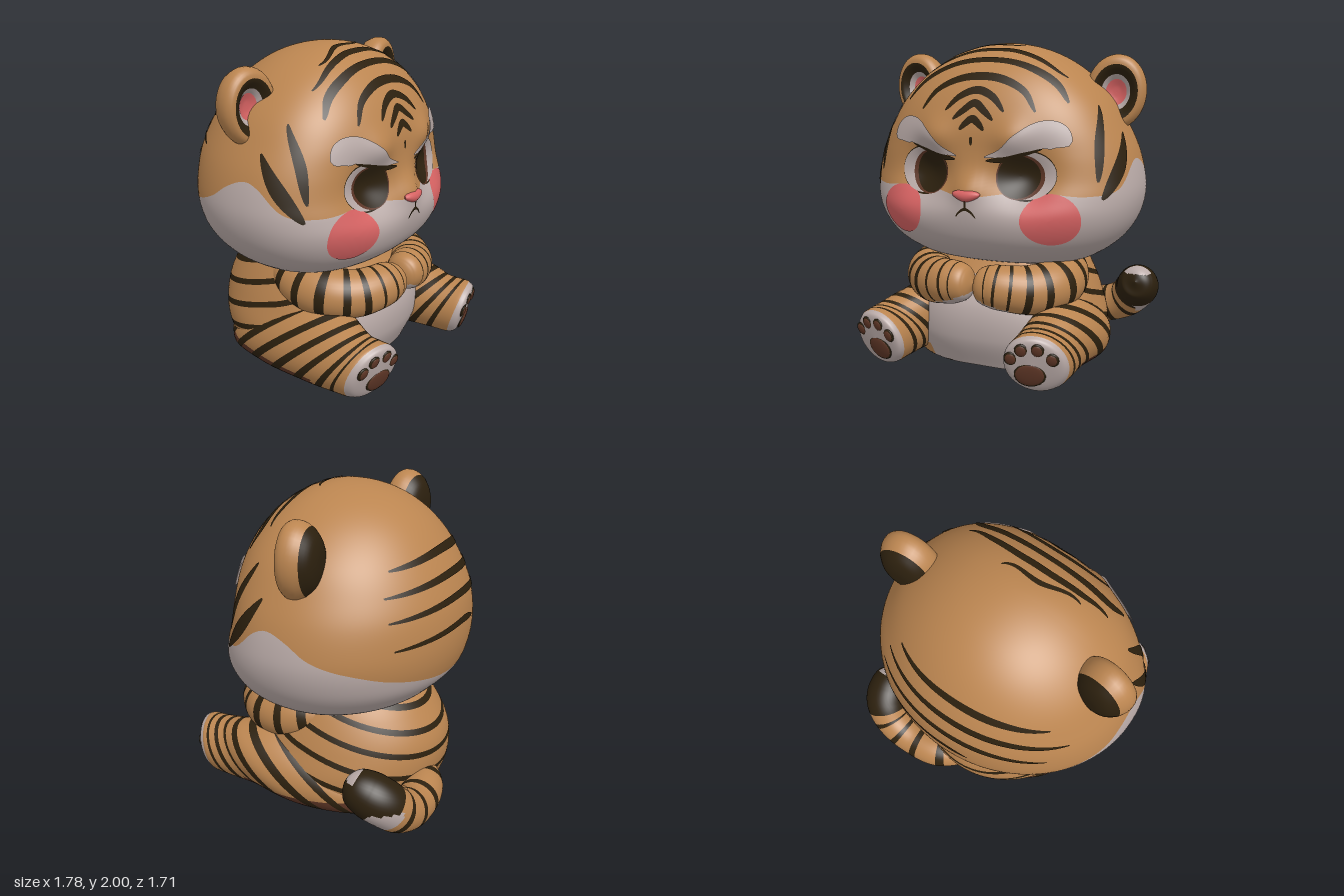
import * as THREE from 'three';

const mat = (name, color, side = THREE.FrontSide) => {
  const m = new THREE.MeshStandardMaterial({ color, side });
  m.name = name;
  return m;
};
const ORANGE = mat('orange fur', 0xbb8550);
const WHITE = mat('pale fur', 0xbaaba8, THREE.DoubleSide);
const DARK = mat('dark stripe', 0x2c200e, THREE.DoubleSide);
const BROWN = mat('brown', 0x5e3626);
const PINK = mat('pink', 0xd66262);

const SIDES = [-1, 1];
const V = (x, y, z) => new THREE.Vector3(x, y, z);
const fract = (t) => t - Math.floor(t);

// Surface grid from point(u, v); color is a material or a rule (u, v, centroid) => material
function grid(name, rows, cols, wrap, point, color) {
  const pos = [], stride = wrap ? cols : cols + 1;
  for (let i = 0; i <= rows; i++)
    for (let j = 0; j < stride; j++) pos.push(...point(i / rows, j / cols).toArray());
  const at = (k) => V(pos[k * 3], pos[k * 3 + 1], pos[k * 3 + 2]);
  const buckets = new Map();
  for (let i = 0; i < rows; i++)
    for (let j = 0; j < cols; j++) {
      const j2 = wrap ? (j + 1) % cols : j + 1;
      const a = i * stride + j, b = i * stride + j2, c = b + stride, d = a + stride;
      const mid = at(a).add(at(b)).add(at(c)).add(at(d)).multiplyScalar(0.25);
      const m = color.isMaterial ? color : color((i + 0.5) / rows, (j + 0.5) / cols, mid);
      if (!buckets.has(m)) buckets.set(m, []);
      buckets.get(m).push(a, b, c, a, c, d);
    }
  const geo = new THREE.BufferGeometry();
  geo.setAttribute('position', new THREE.Float32BufferAttribute(pos, 3));
  const index = [], mats = [...buckets.keys()];
  mats.forEach((m, n) => {
    geo.addGroup(index.length, buckets.get(m).length, n);
    for (const k of buckets.get(m)) index.push(k);
  });
  geo.setIndex(index);
  geo.computeVertexNormals();
  const mesh = new THREE.Mesh(geo, mats.length > 1 ? mats : mats[0]);
  mesh.name = name;
  return mesh;
}

// Rows of [height, half width, front depth, back depth], blended as squares so the poles stay round
function profile(rows) {
  const f = new THREE.CubicInterpolant(rows.map((r) => r[0]),
    rows.flatMap((r) => r.slice(1).map((n) => n * n)), 3, new Float32Array(3));
  return (y) => Array.from(f.evaluate(y), (n) => Math.sqrt(Math.max(n, 1e-8)));
}
const headRow = profile([
  [0.62, 0, 0, 0], [0.635, 0.38, 0.24, 0.29], [0.66, 0.53, 0.37, 0.42], [0.72, 0.66, 0.49, 0.57],
  [0.8, 0.76, 0.58, 0.665], [0.9, 0.835, 0.63, 0.75], [1.0, 0.875, 0.645, 0.785], [1.1, 0.89, 0.62, 0.8],
  [1.2, 0.88, 0.59, 0.8], [1.35, 0.84, 0.575, 0.78], [1.5, 0.77, 0.56, 0.725], [1.65, 0.68, 0.51, 0.64],
  [1.8, 0.535, 0.415, 0.515], [1.92, 0.35, 0.275, 0.345], [2.0, 0, 0, 0]]);
const bodyRow = profile([
  [0, 0.6, 0.47, 0.64], [0.2, 0.65, 0.55, 0.71], [0.4, 0.6, 0.54, 0.71],
  [0.6, 0.52, 0.4, 0.61], [0.8, 0.4, 0.25, 0.42]]);

// Face relief: eye sockets, brow ridges and nose bridge
const N = 2.3;
const bell = (x, y, r) => Math.exp(-(x * x + y * y) / (r * r));
function relief(x, y, z) {
  const ax = Math.abs(x);
  const h = -0.085 * bell(ax - 0.33, y - 1.22, 0.16) + 0.04 * bell(ax - 0.25, y - 1.44, 0.11)
    + 0.05 * bell(x, y - 1.15, 0.1);
  return z > 0 ? z + h * Math.min(1, z / 0.3) : z;
}
function ring(row, y, a) {
  const [w, f, b] = row(y), s = Math.sin(a), c = Math.cos(a);
  if (c < 0) return V(w * s, y, b * c);
  return V(w * Math.sign(s) * Math.abs(s) ** (2 / N), y, f * c ** (2 / N));
}
const arc = (t, n) => Math.max(0, 1 - Math.min(1, Math.abs(t)) ** n) ** (1 / n);
const onFront = (x, y) => {
  const [w, f] = headRow(y);
  return V(x, y, relief(x, y, f * arc(x / w, N)));
};
const onBack = (x, y) => {
  const [w, , b] = headRow(y);
  return V(x, y, -b * arc(x / w, 2));
};
const onSide = (s) => (z, y) => {
  const [w, f, b] = headRow(y);
  const x = s * w * (z > 0 ? arc(z / f, N) : arc(z / b, 2));
  return V(x, y, relief(x, y, z));
};
const lift = (p, k) => V(p.x, p.y - 1.2, p.z).multiplyScalar(1 + k).add(V(0, 1.2, 0));

// Painted band following the head; points are [a, b, width]
function ribbon(name, project, pts, material = DARK, k = 0.006, taper = 0.4) {
  const curve = new THREE.CatmullRomCurve3(pts.map((p) => V(p[0], p[1], p[2] ?? 0.045)));
  return grid(name, 40, 6, false, (u, v) => {
    const p = curve.getPoint(u), t = curve.getTangent(u);
    const l = Math.hypot(t.x, t.y) || 1;
    const o = (v - 0.5) * p.z * Math.max(0.02, Math.sin(Math.PI * u)) ** taper / l;
    return lift(project(p.x - t.y * o, p.y + t.x * o), k);
  }, material);
}
// Painted ellipse on the face
const spot = (name, cx, cy, rx, ry, material, k) => grid(name, 10, 40, true, (u, v) => {
  const a = -2 * Math.PI * v;
  return lift(onFront(cx + rx * u * Math.cos(a), cy + ry * u * Math.sin(a)), k);
}, material);

// Round limb through [x, y, z, radius], flattened where it meets the ground
function limb(name, pts, color, bend = (p) => p) {
  const path = new THREE.CatmullRomCurve3(pts.map((p) => V(p[0], p[1], p[2])), false, 'catmullrom');
  const size = new THREE.CatmullRomCurve3(pts.map((p) => V(p[3], 0, 0)), false, 'catmullrom');
  return grid(name, 100, 40, true, (u, v) => {
    const t = path.getTangent(u), s = V(0, 1, 0).cross(t).normalize(), n = t.clone().cross(s);
    const r = Math.max(0, size.getPoint(u).x), a = 2 * Math.PI * v;
    const p = bend(path.getPoint(u).addScaledVector(s, r * Math.cos(a)).addScaledVector(n, r * Math.sin(a)), u);
    p.y = Math.max(0, p.y);
    return p;
  }, (u, v, p) => (p.y < 0.004 ? DARK : color(u, p)));
}
function blob(name, x, y, z, rx, ry, rz, material) {
  const m = new THREE.Mesh(new THREE.SphereGeometry(1, 24, 14), material);
  m.position.set(x, y, z);
  m.scale.set(rx, ry, rz);
  m.name = name;
  return m;
}

function makeHead() {
  const g = new THREE.Group();
  g.name = 'head';
  // Skull: pale jaw below the fur line, orange above
  const furLine = new THREE.CubicInterpolant(
    [0, 0.35, 0.85, 1.15, 1.4, 1.53, 1.7, 1.85, 2.25, 2.45, 2.9, 3.1416],
    [1.1, 1.14, 1.12, 1.15, 1.28, 1.31, 1.26, 1.18, 1.07, 1.02, 0.94, 0.92], 1, new Float32Array(1));
  g.add(grid('skull', 110, 180, true, (u, v) => {
    const a = 2 * Math.PI * v, yb = furLine.evaluate(Math.min(a, 2 * Math.PI - a))[0];
    const y = u <= 0.4 ? 0.62 + (yb - 0.62) * (1 - Math.cos(Math.PI * u / 0.8))
      : yb + (2 - yb) * Math.sin(Math.PI / 2 * (u - 0.4) / 0.6);
    const p = ring(headRow, y, a);
    p.z = relief(p.x, p.y, p.z);
    return p;
  }, (u) => (u < 0.4 ? WHITE : ORANGE)));

  // Forehead arcs, each given by its right half and mirrored
  const arcs = [
    [[0.48, 1.79, 0.02], [0.3, 1.895, 0.022], [0.14, 1.945, 0.02], [0, 1.955, 0.02]],
    [[0.53, 1.65, 0.05], [0.46, 1.74, 0.045], [0.36, 1.81, 0.04], [0.19, 1.875, 0.032], [0, 1.895, 0.03]],
    [[0.37, 1.6, 0.05], [0.29, 1.71], [0.15, 1.78], [0, 1.8]],
    [[0.19, 1.6], [0.11, 1.68], [0, 1.72]],
    [[0.13, 1.55], [0.07, 1.6], [0, 1.645]],
    [[0.08, 1.49], [0.04, 1.53], [0, 1.555]]];
  for (const half of arcs) {
    const mirrored = half.slice(0, -1).reverse().map(([x, y, w]) => [-x, y, w]);
    g.add(ribbon('foreheadStripe', onFront, [...half, ...mirrored]));
  }
  g.add(ribbon('crownStripe', onFront, [[-0.33, 1.905, 0.01], [-0.1, 1.98, 0.008], [0.15, 1.978, 0.008]]));
  g.add(ribbon('foreheadDash', onFront, [[0, 1.45, 0.02], [0, 1.4, 0.02]]));
  // Stripes on the back of the head, reaching further down its right
  for (const [y, left, right] of [[1.66, 0.43, 0.56], [1.53, 0.52, 0.68], [1.4, 0.55, 0.62], [1.24, 0.55, 0.2]])
    g.add(ribbon('backStripe', onBack,
      [[-right, y - 0.16 * right, 0.035], [-right / 2, y - 0.05 * right], [0, y], [left, y - 0.03]]));
  g.add(ribbon('mouthLine', onFront, [[0, 1.09, 0.014], [0, 1.03, 0.014]], DARK, 0.008));
  g.add(ribbon('mouth', onFront, [[-0.065, 0.985, 0.014], [-0.04, 1.015, 0.014], [0, 1.035, 0.018],
    [0.04, 1.015, 0.014], [0.065, 0.985, 0.014]], DARK, 0.008));

  for (const s of SIDES) {
    g.add(ribbon('templeStripe', onSide(s), [[0.2, 1.63, 0.04], [0.32, 1.42, 0.05], [0.38, 1.2, 0.04]]));
    g.add(ribbon('cheekStripe', onSide(s), [[0.1, 1.47, 0.05], [0.24, 1.28, 0.08], [0.38, 1.1, 0.06]]));
    g.add(spot('cheek', s * 0.49, 0.985, 0.165, 0.152, PINK, 0.005));
    // Eyes, layered from rim to pupil, under a frowning brow
    g.add(spot('eyeRim', s * 0.335, 1.235, 0.175, 0.148, DARK, 0.004));
    g.add(spot('eyeWhite', s * 0.34, 1.235, 0.166, 0.138, WHITE, 0.007));
    g.add(spot('irisRing', s * 0.295, 1.225, 0.138, 0.13, BROWN, 0.01));
    g.add(spot('iris', s * 0.285, 1.225, 0.12, 0.122, DARK, 0.013));
    g.add(ribbon('browCrease', onFront, [[s * 0.1, 1.315, 0.03], [s * 0.2, 1.325, 0.04],
      [s * 0.33, 1.365, 0.03], [s * 0.42, 1.39, 0.02]], DARK, 0.016));
    g.add(ribbon('brow', onFront, [[s * 0.09, 1.335, 0.03], [s * 0.2, 1.365, 0.065], [s * 0.31, 1.425, 0.12],
      [s * 0.42, 1.47, 0.16], [s * 0.5, 1.46, 0.18], [s * 0.57, 1.42, 0.14]], WHITE, 0.019));
    g.add(makeEar(s));
  }
  // Nose, wider at the top
  const nose = blob('nose', 0, 1.11, 0.64, 0.085, 0.036, 0.036, PINK);
  const q = nose.geometry.attributes.position;
  for (let i = 0; i < q.count; i++) q.setX(i, q.getX(i) * (1 + 0.45 * q.getY(i)));
  nose.geometry.computeVertexNormals();
  g.add(nose);
  return g;
}

// Ear: domed back, thick rim and hollow front turned as nested rings
function makeEar(s) {
  const ear = new THREE.Group();
  ear.name = s > 0 ? 'leftEar' : 'rightEar';
  const parts = [
    ['earBack', DARK, [[0, -0.14], [0.06, -0.137], [0.12, -0.115], [0.165, -0.07]]],
    ['earRim', ORANGE, [[0.165, -0.07], [0.185, -0.02], [0.186, 0.035], [0.165, 0.07], [0.14, 0.078]]],
    ['earFringe', DARK, [[0.14, 0.078], [0.12, 0.07], [0.09, 0.045]]],
    ['earLining', WHITE, [[0.09, 0.045], [0.075, 0.03], [0.065, 0.018]]],
    ['earInside', PINK, [[0.065, 0.018], [0.03, 0.003], [0, 0]]]];
  for (const [name, material, pts] of parts) {
    const curve = new THREE.SplineCurve(pts.map((p) => new THREE.Vector2(...p)));
    const line = curve.getPoints(12);
    line.forEach((p) => { p.x = Math.max(0, p.x); });
    const m = new THREE.Mesh(new THREE.LatheGeometry(line, 40).rotateX(Math.PI / 2), material);
    m.name = name;
    ear.add(m);
  }
  ear.scale.set(1, 1.24, 1);
  ear.position.set(s * 0.685, 1.7, -0.085);
  ear.rotation.set(0, s * 0.15, -s * 0.12);
  return ear;
}

export function createModel() {
  const model = new THREE.Group();
  model.name = 'sittingCub';
  model.add(makeHead());

  // Torso with flat base and pale belly; rows tilt so the stripes slope down to the rear
  model.add(grid('torso', 110, 110, true, (u, v) => {
    const a = 2 * Math.PI * v, k = Math.min(1, u / 0.06);
    const level = -0.22 + 1.24 * Math.max(0, (u - 0.06) / 0.94);
    const y = u < 0.06 ? 0 : THREE.MathUtils.clamp(level + 0.22 * Math.cos(a), 0, 0.8);
    const p = ring(bodyRow, y, a);
    return V(p.x * k, y, p.z * k);
  }, (u, v, p) => {
    if (p.y < 0.004) return DARK;
    if (p.z > 0.1 && (p.x / 0.4) ** 2 + ((p.y - 0.2) / 0.38) ** 2 < 1) return WHITE;
    if (p.z < 0.25 && fract(u * 9.3) < 0.25) return DARK;
    return p.z < 0.2 && p.y < 0.05 ? BROWN : ORANGE;
  }));

  for (const s of SIDES) {
    const side = s > 0 ? 'left' : 'right', px = s > 0 ? 0.495 : 0.565, pz = s > 0 ? 0.8 : 0.765;
    // Legs: sections slant more toward the hip; soles lean forward and splay outward
    const slant = (u) => THREE.MathUtils.lerp(1.15, 0.3, THREE.MathUtils.smoothstep(u, 0.25, 0.75));
    const splay = (x, u) => -0.25 * (s * x - px) * THREE.MathUtils.smoothstep(u, 0.5, 0.72);
    model.add(limb(side + 'Leg', [
      [s * 0.25, 0.2, -0.4, 0.16], [s * 0.38, 0.22, -0.12, 0.26], [s * 0.49, 0.2, 0.18, 0.235],
      [s * (px - 0.01), 0.19, 0.45, 0.2], [s * px, 0.19, pz - 0.15, 0.19], [s * px, 0.19, pz - 0.05, 0.182],
      [s * px, 0.19, pz - 0.005, 0.14], [s * px, 0.19, pz + 0.01, 0]],
    (u, p) => {
      if (u > 0.7) return WHITE;
      if (u < 0.6 && fract(u * 12.5) < 0.34) return DARK;
      return p.z < 0.4 && p.y < 0.09 ? BROWN : ORANGE;
    }, (p, u) => p.setZ(p.z + (p.y - 0.19) * slant(u) + splay(p.x, u))));
    const pad = (name, dx, y, rx, ry, sink) => {
      const x = s * px + dx, z = pz + 0.006 - sink + (y - 0.19) * 0.3 + splay(x, 1);
      for (const [label, m, grow, back] of [['Outline', DARK, 0.008, 0.004], ['', BROWN, 0, 0]]) {
        const b = blob(name + label, x, y, z - back, rx + grow, ry + grow, 0.014, m);
        b.rotation.set(0.29, s * 0.24, 0);
        model.add(b);
      }
    };
    pad('solePad', -s * 0.02, 0.135, 0.085, 0.072, 0);
    for (const [dx, y] of [[-0.12, 0.235], [-0.055, 0.29], [0.035, 0.295], [0.11, 0.24]])
      pad('toePad', dx, y, 0.033, 0.037, 0.008);

    // Arms folded over the belly, pale under the paws
    model.add(limb(side + 'Arm', [
      [s * 0.36, 0.6, -0.14, 0.1], [s * 0.42, 0.55, 0.1, 0.16], [s * 0.42, 0.53, 0.3, 0.16],
      [s * 0.325, 0.525, 0.44, 0.15], [s * 0.21, 0.54, 0.515, 0.14], [s * 0.115, 0.55, 0.54, 0.13],
      [s * 0.04, 0.55, 0.545, 0.095], [s * 0.003, 0.55, 0.545, 0]],
    (u, p) => {
      if (p.z > 0.4 && p.y < 0.505 - 0.35 * Math.abs(p.x)) return WHITE;
      return u < 0.74 && fract(u * 11) < 0.28 ? DARK : ORANGE;
    }));
  }

  // Tail curling round the left side: dark end with pale tip and outer patch
  model.add(limb('tail', [
    [0, 0.14, -0.55, 0.1], [0.2, 0.13, -0.68, 0.13], [0.42, 0.13, -0.715, 0.13], [0.59, 0.19, -0.7, 0.135],
    [0.69, 0.29, -0.64, 0.145], [0.73, 0.35, -0.55, 0.14], [0.745, 0.39, -0.46, 0.1], [0.745, 0.4, -0.42, 0]],
  (u, p) => {
    if (u > 0.82 && p.y > 0.445) return WHITE;
    if (u > 0.5 && u < 0.64 && p.x > 0.71 && p.y < 0.29) return WHITE;
    return u > 0.53 || fract(u * 9) < 0.24 ? DARK : ORANGE;
  }));
  return model;
}
